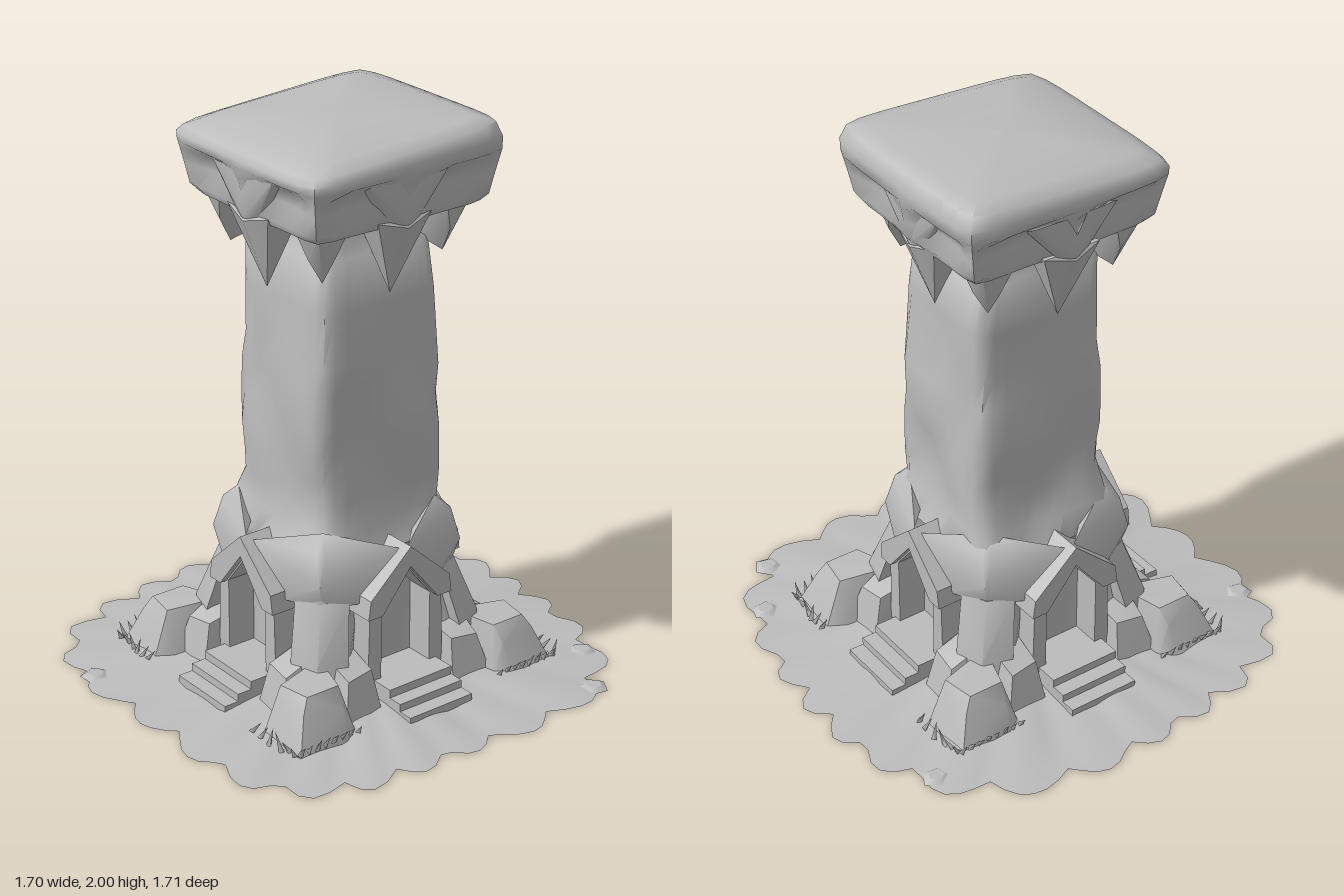
import * as THREE from 'three';
import { toCreasedNormals } from 'three/addons/utils/BufferGeometryUtils.js';
import { ConvexGeometry } from 'three/addons/geometries/ConvexGeometry.js';

const stone = new THREE.MeshStandardMaterial({ color: 0xbcbcbc, side: THREE.DoubleSide });
stone.name = 'greyStone';

function add(parent, name, geometry) {
  const mesh = new THREE.Mesh(geometry, stone);
  mesh.name = name;
  parent.add(mesh);
  return mesh;
}

// Convex rock with softened edges
const hull = (pts) => toCreasedNormals(
  new ConvexGeometry(pts.map((p) => new THREE.Vector3(...p))), 0.8);

// Skin a stack of closed rings; each ring is a list of [x, y, z]
function skin(rings, crease) {
  const n = rings[0].length, index = [];
  for (let j = 0; j < rings.length - 1; j++) {
    for (let i = 0; i < n; i++) {
      const a = j * n + i, b = j * n + (i + 1) % n;
      index.push(a, b, b + n, a, b + n, a + n);
    }
  }
  const g = new THREE.BufferGeometry();
  g.setAttribute('position', new THREE.Float32BufferAttribute(rings.flat(2), 3));
  g.setIndex(index);
  return toCreasedNormals(g, crease);
}

// Rounded square ring with its own extent on each side.
// notch: distance of a mid-side recess; hollow: depth of dents either side of the middle
function squareRing({ y, xm, xp, zm, zp, notch = 0, hollow = 0, rough = 0, tilt = 0, round = 0.07 }) {
  const n = 10, ring = [];
  for (let i = 0; i < 4 * n; i++) {
    const s = Math.floor(i / n), t = -1 + 2 * (i % n) / n, d = Math.abs(t);
    const [u, v] = [[t, 1], [1, -t], [-t, -1], [-1, t]][s];
    // crossing diagonal ridges
    const bump = Math.abs(Math.sin(i * Math.PI / 8 + y * 5.5)) * 0.6
      + Math.abs(Math.sin(i * Math.PI / 20 * 1.5 - y * 4)) * 0.4;
    const f = 1 - round * Math.pow(d, 6) - rough * (1 - bump);
    let x = u * f * (u > 0 ? xp : xm), z = v * f * (v > 0 ? zp : zm);
    let dent = hollow * Math.max(0, Math.min(d / 0.4, (1 - d) / 0.4, 1));
    if (notch && d < 0.45) dent = Math.abs(s % 2 ? x : z) - notch;
    if (s % 2) x -= Math.sign(u) * dent; else z -= Math.sign(v) * dent;
    ring.push([x, y + tilt * x, z]);
  }
  return ring;
}

function even(y, h, extra = {}) {
  return squareRing({ y, xm: h, xp: h, zm: h, zp: h, ...extra });
}

// Rough tower shaft, with recesses for the four doorways at the bottom
function shaft() {
  const rings = [
    even(0.0, 0.38, { notch: 0.28, rough: 0.05 }),
    even(0.2, 0.345, { notch: 0.28, rough: 0.06 }),
    even(0.36, 0.315, { notch: 0.28, rough: 0.06 }),
    even(0.5, 0.315, { notch: 0.28, rough: 0.03 }),
    even(0.53, 0.31, { rough: 0.03 })
  ];
  const levels = [
    // y, -x, +x, -z, +z
    [0.62, 0.275, 0.29, 0.28, 0.273],
    [0.72, 0.265, 0.285, 0.25, 0.268],
    [0.8, 0.265, 0.285, 0.24, 0.265],
    [0.9, 0.268, 0.29, 0.25, 0.268],
    [1.0, 0.268, 0.295, 0.25, 0.268],
    [1.12, 0.268, 0.28, 0.24, 0.27],
    [1.22, 0.265, 0.265, 0.23, 0.268],
    [1.4, 0.242, 0.257, 0.222, 0.247],
    [1.58, 0.23, 0.24, 0.23, 0.232]
  ];
  levels.forEach(([y, xm, xp, zm, zp], i) => rings.push(
    squareRing({ y, xm, xp, zm, zp, rough: i < 7 ? 0.14 : 0.03 })));
  rings.push(even(1.59, 0.215), even(1.74, 0.215));
  return skin(rings, 1.1);
}

// Heavy cap slab with hollowed lower faces and a slightly tilted top
function cap() {
  const box = (y, h, o = {}) => squareRing(
    { y, xm: h, xp: h + 0.012, zm: h - 0.015, zp: h, round: 0.06, ...o });
  return skin([
    box(1.75, 0.18), box(1.705, 0.35, { hollow: 0.01 }), box(1.73, 0.372, { hollow: 0.02 }),
    box(1.8, 0.385, { hollow: 0.05 }), box(1.85, 0.395, { hollow: 0.045 }),
    box(1.885, 0.402), box(1.92, 0.403, { tilt: 0.02 }),
    box(1.955, 0.385, { tilt: 0.06 }), box(1.975, 0.33, { tilt: 0.05 }),
    box(1.99, 0.15, { tilt: 0.03 }), box(1.998, 0.002)
  ], 1.0);
}

// Extruded gable outline facing +z
function extrude(points, hole, z0, z1) {
  const toVec = (p) => new THREE.Vector2(...p);
  const shape = new THREE.Shape(points.map(toVec));
  if (hole) shape.holes.push(new THREE.Path(hole.map(toVec)));
  const g = new THREE.ExtrudeGeometry(shape, { depth: z1 - z0, bevelEnabled: false });
  return g.translate(0, 0, z0);
}

// One side of the tower: doorway, gable, steps, flank stones and hanging spike
function side() {
  const g = new THREE.Group();
  add(g, 'doorFrame', extrude(
    [[-0.165, 0], [0.165, 0], [0.155, 0.37], [0, 0.53], [-0.155, 0.37]],
    [[-0.105, 0.06], [-0.105, 0.36], [0, 0.49], [0.105, 0.36], [0.105, 0.06]], 0.27, 0.385));
  add(g, 'gableRoof', extrude(
    [[-0.18, 0.35], [-0.12, 0.35], [0, 0.5], [0.12, 0.35], [0.18, 0.35], [0.17, 0.42], [0, 0.575], [-0.17, 0.42]],
    null, 0.24, 0.41));
  [[0.04, 0.58], [0.068, 0.525], [0.098, 0.47]].forEach(([h, z]) => {
    const step = add(g, 'step', new THREE.BoxGeometry(0.27, h, z - 0.26));
    step.position.set(0, h / 2, (z + 0.26) / 2);
  });
  for (const s of [-1, 1]) {
    add(g, 'flankStone', hull([
      [s * 0.155, 0, 0.3], [s * 0.155, 0, 0.46], [s * 0.32, 0, 0.47], [s * 0.32, 0, 0.3],
      [s * 0.165, 0.2, 0.3], [s * 0.175, 0.17, 0.42], [s * 0.28, 0.16, 0.43], [s * 0.29, 0.21, 0.32]]));
    // Slanting brow that meets its twin above the spike
    add(g, 'capBrow', hull([
      [s * 0.16, 1.87, 0.38], [s * 0.04, 1.87, 0.385], [0, 1.71, 0.38], [0, 1.8, 0.385],
      [s * 0.05, 1.71, 0.36], [s * 0.16, 1.84, 0.33], [0, 1.71, 0.33]]));
  }
  add(g, 'hangingSpike', hull([
    [-0.11, 1.73, 0.36], [0.11, 1.73, 0.36], [-0.065, 1.63, 0.33], [0.065, 1.63, 0.33],
    [0, 1.7, 0.38], [-0.08, 1.72, 0.2], [0.08, 1.72, 0.2], [0, 1.58, 0.225], [0, 1.45, 0.285]]));
  return g;
}

// One corner: boulder, shoulder, grass tufts and a cap bracket, in the +x +z quadrant
function corner(sx, sz) {
  const g = new THREE.Group();
  const m = (pts) => hull(pts.map(([x, y, z]) => [sx * x, y, sz * z]));
  add(g, 'cornerBoulder', m([
    [0.27, 0, 0.27], [0.3, 0, 0.5], [0.36, 0, 0.535], [0.55, 0, 0.52], [0.56, 0, 0.32], [0.5, 0, 0.27],
    [0.51, 0.13, 0.36], [0.5, 0.13, 0.47], [0.35, 0.12, 0.49],
    [0.29, 0.19, 0.28], [0.34, 0.18, 0.45], [0.47, 0.18, 0.45], [0.49, 0.18, 0.33]]));
  add(g, 'rockSpur', m([
    [0.24, 0, 0.24], [0.4, 0, 0.28], [0.28, 0, 0.4], [0.38, 0.2, 0.24], [0.24, 0.2, 0.38], [0.35, 0.2, 0.35],
    [0.2, 0.4, 0.33], [0.33, 0.4, 0.2], [0.29, 0.4, 0.29], [0.24, 0.4, 0.24]]));
  add(g, 'gableShoulder', m([
    [0.165, 0.39, 0.355], [0.355, 0.39, 0.165], [0.28, 0.37, 0.28], [0.305, 0.47, 0.305],
    [0.02, 0.56, 0.37], [0.37, 0.56, 0.02], [0.29, 0.58, 0.27], [0.27, 0.58, 0.29], [0.24, 0.63, 0.24]]));
  add(g, 'capBracket', m([
    [0.18, 1.74, 0.18], [0.33, 1.73, 0.2], [0.2, 1.73, 0.33], [0.31, 1.71, 0.31],
    [0.3, 1.62, 0.24], [0.24, 1.62, 0.3], [0.25, 1.53, 0.25], [0.19, 1.58, 0.19]]));
  for (let i = 0; i < 14; i++) {
    const front = i < 8, k = front ? i / 7 : (i - 8) / 5;
    const x = front ? 0.31 + 0.24 * k : 0.575, z = front ? 0.53 : 0.31 + 0.2 * k;
    const blade = add(g, 'grassBlade', new THREE.ConeGeometry(0.011, 0.05 + 0.012 * (i % 3), 3));
    blade.position.set(sx * x, 0.04, sz * z);
    blade.rotation.set(front ? sz * 0.6 : 0.1, i, front ? 0.1 : -sx * 0.6);
  }
  return g;
}

// Thin mound with a scalloped rim and radiating ridges
function ground() {
  const n = 120, rings = [];
  // radius fraction, height, rim waviness, ridge height
  const profile = [[1, 0.002, 1, 0], [0.87, 0.007, 0.5, 0.01], [0.72, 0.014, 0.2, 0.014],
    [0.56, 0.028, 0, 0.01], [0.4, 0.045, 0, 0]];
  for (const [f, y, wave, ridge] of profile) {
    const ring = [];
    for (let i = 0; i < n; i++) {
      const a = i / n * Math.PI * 2, c = Math.cos(a), s = Math.sin(a);
      const square = Math.pow(Math.abs(c) ** 3.3 + Math.abs(s) ** 3.3, -1 / 3.3);
      const scallop = Math.abs(Math.cos(a * 12 + 0.8 * Math.sin(a * 3)));
      const r = f * square * (0.845 - wave * (0.075 * (1 - scallop) - 0.015 * Math.sin(a * 5 + 1)));
      const swell = 0.6 * (scallop - 0.6) + 0.4 * Math.sin(a * 7 + 2);
      ring.push([r * c, Math.max(0.002, y + ridge * swell), -r * s]);
    }
    rings.push(ring);
  }
  return skin(rings, 0.9);
}

export function createModel() {
  const model = new THREE.Group();
  model.name = 'stoneTower';
  add(model, 'ground', ground());
  add(model, 'towerShaft', shaft());
  add(model, 'capSlab', cap());
  add(model, 'floor', new THREE.BoxGeometry(0.58, 0.03, 0.58)).position.y = 0.08;
  for (let i = 0; i < 4; i++) {
    const s = side();
    s.name = 'towerSide';
    s.rotation.y = i * Math.PI / 2;
    model.add(s);
  }
  for (const sx of [-1, 1]) for (const sz of [-1, 1]) {
    const c = corner(sx, sz);
    c.name = 'towerCorner';
    model.add(c);
  }
  // Flat stones near the rim
  for (const [x, z, a] of [[0.68, -0.55, 0.5], [-0.77, -0.37, 0.4], [0.68, 0.54, -0.6], [0.54, 0.75, 0.4]]) {
    const flat = add(model, 'flatStone', new THREE.CylinderGeometry(0.03, 0.055, 0.014, 5));
    flat.position.set(x, 0.007, z);
    flat.rotation.y = a;
  }
  return model;
}
